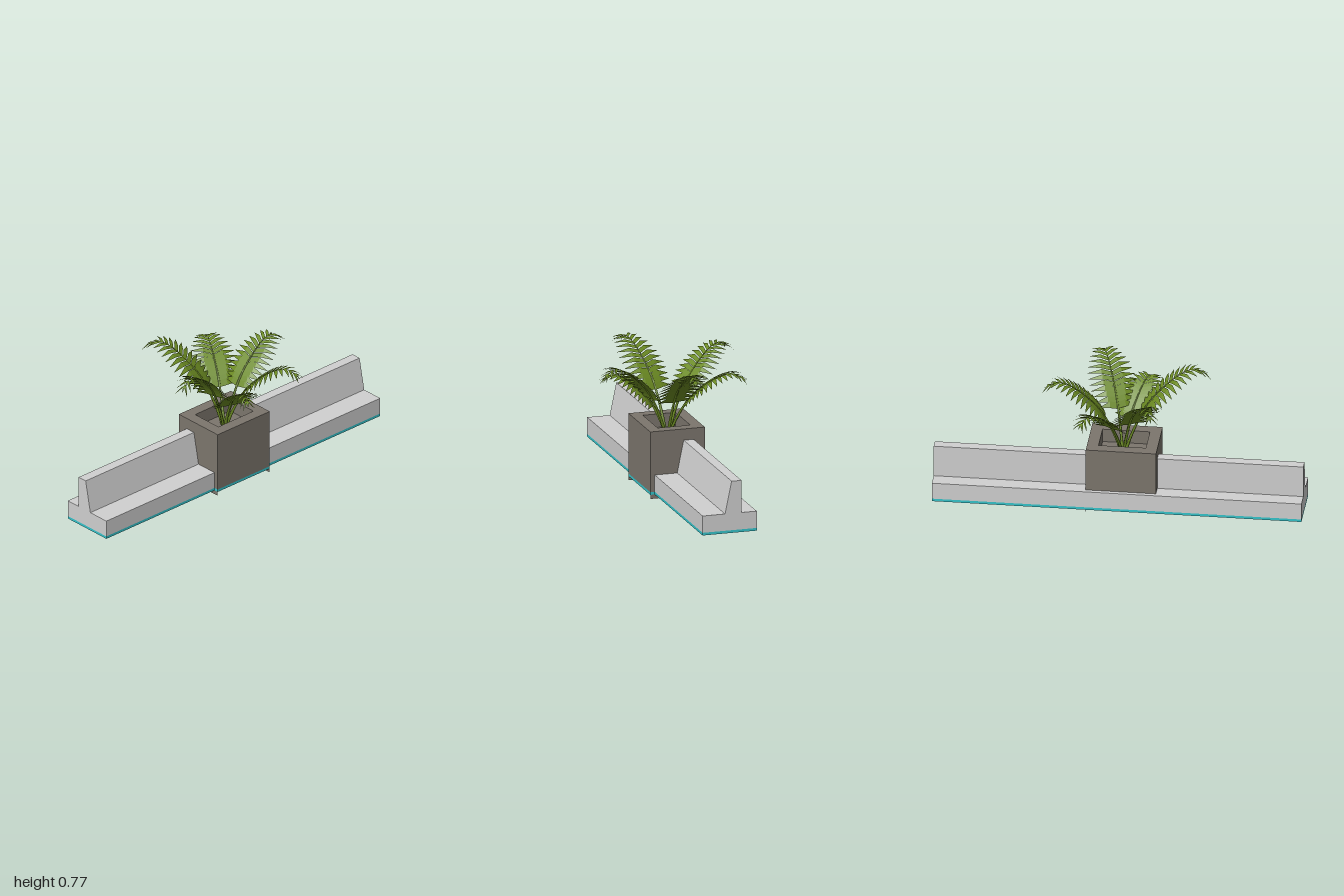
import * as THREE from 'three';

const mat = (name, color) => {
  const m = new THREE.MeshStandardMaterial({ color, side: THREE.DoubleSide });
  m.name = name;
  return m;
};

export function createModel() {
  const concrete = mat('pale concrete', 0xd0d0d0);
  const stone = mat('taupe stone', 0x7c766d);
  const glow = mat('teal light strip', 0x35c4cb);
  const leaf = mat('fern green', 0x6b8a22);

  const model = new THREE.Group();
  model.name = 'benchWithPlanter';
  const add = (parent, name, geometry, material) => {
    const mesh = new THREE.Mesh(geometry, material);
    mesh.name = name;
    parent.add(mesh);
    return mesh;
  };
  const group = (name) => {
    const g = new THREE.Group();
    g.name = name;
    model.add(g);
    return g;
  };

  // Box between two corners, optionally without its bottom and top faces
  const box = (x0, x1, y0, y1, z0, z1, keep = [0, 1, 2, 3, 4, 5]) => {
    const g = new THREE.BoxGeometry(x1 - x0, y1 - y0, z1 - z0);
    g.translate((x0 + x1) / 2, (y0 + y1) / 2, (z0 + z1) / 2);
    const index = Array.from(g.index.array);
    g.setIndex(keep.flatMap((f) => index.slice(f * 6, f * 6 + 6)));
    g.clearGroups();
    return g;
  };
  const PX = 0, NX = 1, PY = 2, PZ = 4, NZ = 5;

  // Main levels and planter footprint
  const seatY = 0.132, glowTop = 0.038, glowLow = 0.023;
  const back = -0.183, front = 0.123;
  const px0 = -0.21, px1 = 0.17, pz0 = -0.16, pz1 = 0.148, rimY = 0.375;

  // Bench: hollow base open underneath, light strip along its lower edge
  const bench = group('bench');
  add(bench, 'seatBase', box(-1, 1, glowTop, seatY, back, front, [PX, NX, PY, PZ, NZ]), concrete);
  add(bench, 'baseLightStrip', box(-1, 1, glowLow, glowTop, back, front, [PX, NX, PZ, NZ]), glow);

  // Backrest with a sloping front, interrupted by the planter
  const profile = new THREE.Shape([
    new THREE.Vector2(-0.097, seatY), new THREE.Vector2(-0.004, seatY),
    new THREE.Vector2(-0.041, 0.312), new THREE.Vector2(-0.097, 0.312),
  ]);
  for (const [name, x0, x1] of [['rightBackrest', -1, px0], ['leftBackrest', px1, 1]]) {
    const g = new THREE.ExtrudeGeometry(profile, { depth: x1 - x0, bevelEnabled: false });
    g.rotateY(-Math.PI / 2).translate(x1, 0, 0);
    add(bench, name, g, concrete);
  }

  // Planter: thick upper frame, thin skirt walls reaching to the ground
  const planter = group('planter');
  const rect = (Type, inset) => new Type([
    new THREE.Vector2(px0 + inset, -pz1 + inset), new THREE.Vector2(px1 - inset, -pz1 + inset),
    new THREE.Vector2(px1 - inset, -pz0 - inset), new THREE.Vector2(px0 + inset, -pz0 - inset),
  ]);
  const frame = rect(THREE.Shape, 0);
  frame.holes.push(rect(THREE.Path, 0.062));
  const frameGeo = new THREE.ExtrudeGeometry(frame, { depth: rimY - seatY, bevelEnabled: false });
  frameGeo.rotateX(-Math.PI / 2).translate(0, seatY, 0);
  add(planter, 'planterFrame', frameGeo, stone);
  add(planter, 'planterSkirt', box(px0, px1, glowTop, seatY, pz0, pz1, [PX, NX, PZ]), stone);
  add(planter, 'planterLightStrip', box(px0, px1, glowLow, glowTop, pz0, pz1, [PX, NX, PZ]), glow);
  add(planter, 'planterFeet', box(px0, px1, 0, glowLow, pz0, pz1, [PX, NX]), stone);
  add(planter, 'soil', box(px0 + 0.05, px1 - 0.05, 0.29, 0.3, pz0 + 0.05, pz1 - 0.05, [PY]), stone);

  // Fern: arching fronds given by tip x, tip z and crest height
  const fern = group('fern');
  const cx = -0.015, cz = -0.008, baseY = 0.3;
  const arch = [[0.03, 0], [0.09, 0.18], [0.28, 0.56], [0.48, 0.78], [0.7, 0.94], [0.84, 0.985], [0.95, 0.94]];
  const up = new THREE.Vector3(0, 1, 0);

  const makeFrond = (tipX, tipZ, crest) => {
    const frond = new THREE.Group();
    frond.name = 'frond';
    const curve = new THREE.CatmullRomCurve3(arch.map(([r, h]) => new THREE.Vector3(
      cx + (tipX - cx) * r, baseY + (crest - baseY) * h, cz + (tipZ - cz) * r)));

    // Stem tapering toward the tip
    const steps = 14, sides = 5;
    const tube = new THREE.TubeGeometry(curve, steps, 0.009, sides, false);
    const p = tube.attributes.position;
    const v = new THREE.Vector3();
    for (let i = 0; i < p.count; i++) {
      const u = Math.floor(i / (sides + 1)) / steps;
      v.fromBufferAttribute(p, i).lerp(curve.getPointAt(u), u * 0.85);
      p.setXYZ(i, v.x, v.y, v.z);
    }
    add(frond, 'stem', tube, leaf);

    // Pairs of pointed leaflets, swept further forward toward the tip
    const pos = [];
    const pairs = 14;
    const blade = (root, dir, along, length, width) => {
      const tip = root.clone().addScaledVector(dir, length);
      tip.y -= length * 0.22;
      const a = root.clone().addScaledVector(along, -width * 0.45);
      const b = root.clone().addScaledVector(dir, length * 0.4).addScaledVector(along, width * 0.5);
      const c = root.clone().addScaledVector(dir, length * 0.45).addScaledVector(along, -width * 0.5);
      const d = root.clone().addScaledVector(along, width * 0.45);
      for (const q of [a, c, d, d, c, b, b, c, tip]) pos.push(q.x, q.y, q.z);
    };
    for (let i = 0; i < pairs; i++) {
      const k = i / (pairs - 1);
      const u = 0.38 + 0.61 * k;
      const root = curve.getPointAt(u);
      const along = curve.getTangentAt(u);
      const side = along.clone().cross(up).normalize();
      const sweep = 0.2 + 0.75 * k * k;
      const length = (0.105 + 0.045 * Math.sin(Math.PI * Math.min(1, k * 1.1))) * (1 - 0.4 * k * k);
      for (const s of [-1, 1]) {
        const dir = side.clone().multiplyScalar(s * Math.cos(sweep)).addScaledVector(along, Math.sin(sweep));
        blade(root, dir, along, length, 0.037 - 0.019 * k);
      }
    }
    const end = curve.getPointAt(0.98);
    const tangent = curve.getTangentAt(1);
    blade(end, tangent, tangent.clone().cross(up).normalize(), 0.045, 0.014);
    const g = new THREE.BufferGeometry();
    g.setAttribute('position', new THREE.Float32BufferAttribute(pos, 3));
    g.computeVertexNormals();
    add(frond, 'leaflets', g, leaf);
    return frond;
  };

  for (const [x, z, crest] of [
    [-0.21, -0.41, 0.745], [0.18, -0.38, 0.66], [0.4, -0.04, 0.72],
    [0.15, 0.4, 0.735], [-0.14, 0.31, 0.63], [-0.45, 0.13, 0.77],
  ]) fern.add(makeFrond(x, z, crest));

  return model;
}
